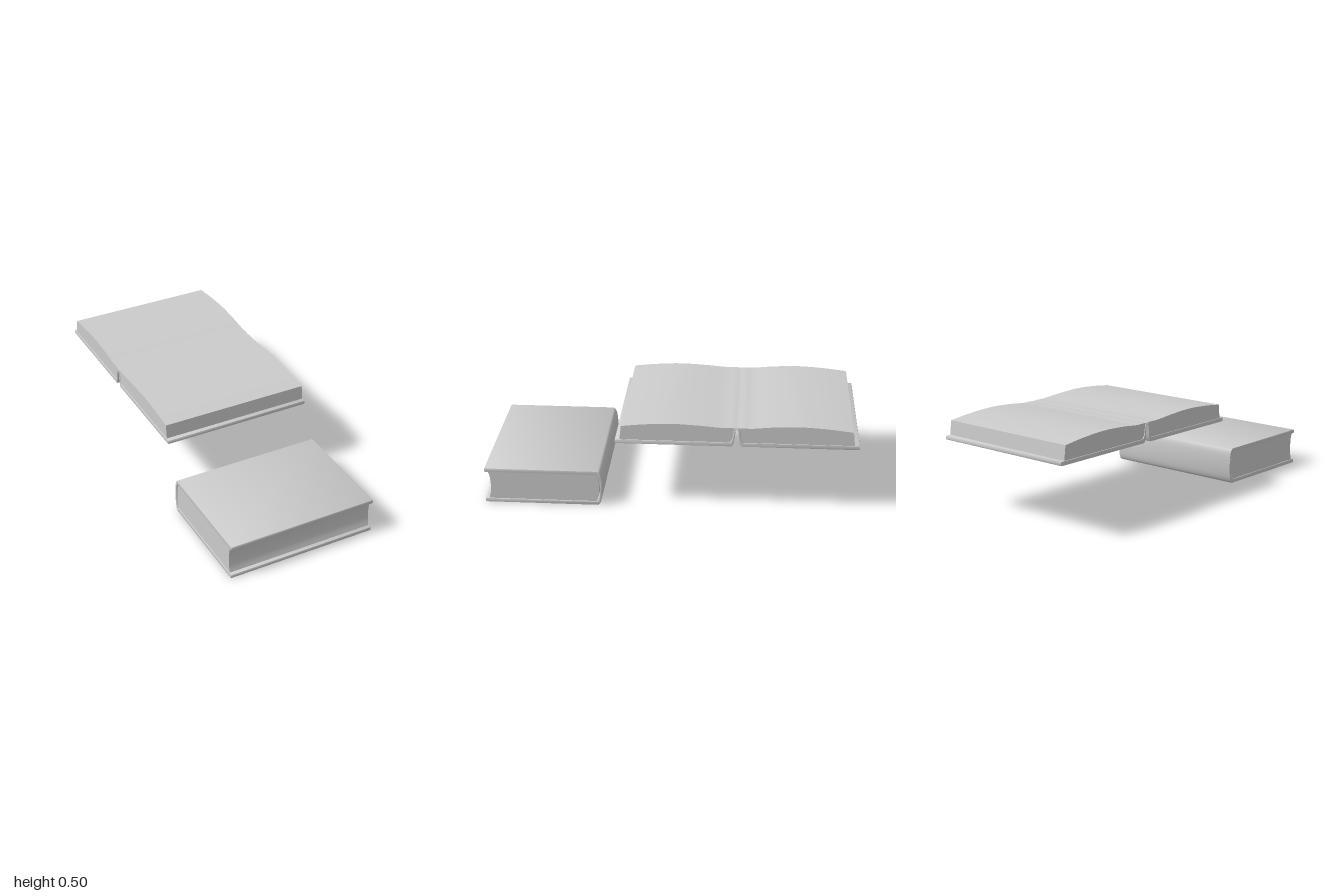
import * as THREE from 'three';
import { toCreasedNormals } from 'three/addons/utils/BufferGeometryUtils.js';

const material = new THREE.MeshStandardMaterial({ color: 0xcccccc, side: THREE.DoubleSide });

// Smooth run of [z, y] points through the given ones
function curve(points, steps = 14) {
  const spline = new THREE.SplineCurve(points.map(([z, y]) => new THREE.Vector2(z, y)));
  return spline.getPoints(steps).map((p) => [p.x, p.y]);
}

// Extrude a [z, y] profile along x, centred, with an optional rounded rim
function slab(name, profile, width, bevel = 0) {
  const shape = new THREE.Shape(profile.map(([z, y]) => new THREE.Vector2(-z, y)));
  const depth = width - 2 * bevel;
  const geometry = new THREE.ExtrudeGeometry(shape, {
    depth, bevelEnabled: bevel > 0, bevelSize: bevel, bevelOffset: -bevel,
    bevelThickness: bevel, bevelSegments: 2,
  });
  geometry.translate(0, 0, -depth / 2).rotateY(Math.PI / 2);
  const mesh = new THREE.Mesh(toCreasedNormals(geometry, 0.6), material);
  mesh.name = name;
  return mesh;
}

// Rounded free edge of a cover board, running from bottom to top
function boardEdge(z, y0, y1, dir) {
  const r = 0.005;
  return [[z - dir * r, y0], [z - dir * r * 0.3, y0 + r * 0.3], [z, y0 + r],
    [z, y1 - r], [z - dir * r * 0.3, y1 - r * 0.3], [z - dir * r, y1]];
}

function closedBook() {
  const book = new THREE.Group();
  book.name = 'closedBook';
  // Two boards joined by a rounded spine
  const cover = [
    ...boardEdge(1, 0, 0.022, 1),
    ...curve([[0.392, 0.022], [0.379, 0.05], [0.375, 0.101], [0.379, 0.152], [0.392, 0.18]]),
    ...boardEdge(1, 0.18, 0.202, 1),
    ...curve([[0.39, 0.202], [0.376, 0.192], [0.366, 0.16], [0.362, 0.101],
      [0.366, 0.042], [0.376, 0.01], [0.39, 0]], 20),
  ];
  // Page block with a hollow fore edge and a rounded back
  const pages = [
    ...curve([[0.98, 0.021], [0.971, 0.055], [0.968, 0.101], [0.971, 0.147], [0.98, 0.181]]),
    ...curve([[0.394, 0.181], [0.383, 0.15], [0.379, 0.101], [0.383, 0.052], [0.394, 0.021]]),
  ];
  book.add(slab('closedCover', cover, 0.832, 0.003), slab('closedPages', pages, 0.824));
  return book;
}

function openBook() {
  const book = new THREE.Group();
  book.name = 'openBook';
  const mid = -0.354, low = 0.376, board = 0.398;
  // Half of the folded spine, from board to ridge; side is +1 or -1
  const outerFold = (side) => curve([[mid + side * 0.035, board], [mid + side * 0.022, 0.42],
    [mid + side * 0.016, 0.46], [mid + side * 0.01, 0.474], [mid, 0.477]], 10);
  const innerFold = (side) => curve([[mid + side * 0.024, low], [mid + side * 0.016, 0.395],
    [mid + side * 0.01, 0.43], [mid + side * 0.007, 0.465], [mid, 0.47]], 10);
  // Flat boards with the spine folded up between them
  const cover = [
    ...boardEdge(0.29, low, board, 1),
    ...outerFold(1), ...outerFold(-1).reverse().slice(1),
    ...boardEdge(-0.998, low, board, -1).reverse(),
    ...innerFold(-1), ...innerFold(1).reverse().slice(1),
  ];
  // Spread pages: two swells dipping into a gutter, notched over the spine
  const pages = [
    [0.265, board - 0.001],
    ...curve([[0.256, 0.475], [0.14, 0.488], [0, 0.496], [-0.14, 0.491], [-0.27, 0.481],
      [-0.33, 0.481], [-0.358, 0.479], [-0.39, 0.481], [-0.44, 0.481], [-0.54, 0.491],
      [-0.68, 0.497], [-0.83, 0.489], [-0.962, 0.474]], 60),
    [-0.971, board - 0.001],
    [mid - 0.036, board - 0.001], [mid - 0.023, 0.42], [mid - 0.017, 0.46], [mid - 0.01, 0.475],
    [mid + 0.01, 0.475], [mid + 0.017, 0.46], [mid + 0.023, 0.42], [mid + 0.036, board - 0.001],
  ];
  book.add(slab('openCover', cover, 0.832, 0.002), slab('openPages', pages, 0.824));
  return book;
}

export function createModel() {
  const model = new THREE.Group();
  model.name = 'books';
  model.add(closedBook(), openBook());
  return model;
}
